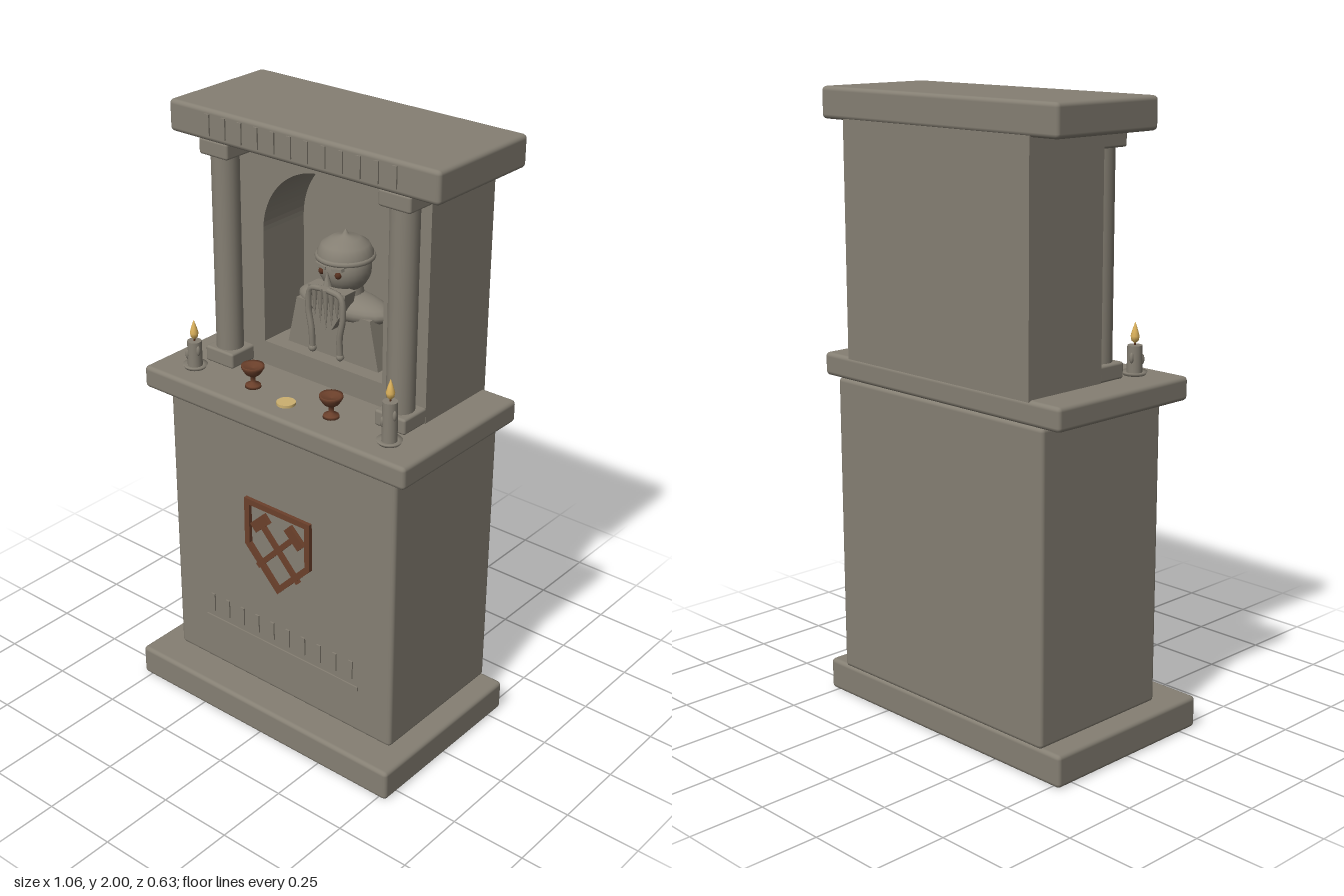
import * as THREE from 'three';
import { RoundedBoxGeometry } from 'three/addons/geometries/RoundedBoxGeometry.js';

const mat = (name, color, side = THREE.FrontSide) => {
  const m = new THREE.MeshStandardMaterial({ color, side });
  m.name = name;
  return m;
};

export function createModel() {
  const stone = mat('stone', 0x857f73);
  const copper = mat('copper brown', 0x6b402b, THREE.DoubleSide);
  const gold = mat('pale gold', 0xccb070);
  const flameMat = mat('flame', 0xdcb25c);
  const eyeMat = mat('eye brown', 0x55301f);

  const root = new THREE.Group();
  root.name = 'shrine';
  const add = (name, geo, m, x = 0, y = 0, z = 0, parent = root) => {
    const mesh = new THREE.Mesh(geo, m);
    mesh.name = name;
    mesh.position.set(x, y, z);
    parent.add(mesh);
    return mesh;
  };
  const group = (name, x = 0, y = 0, z = 0) => {
    const g = new THREE.Group();
    g.name = name;
    g.position.set(x, y, z);
    root.add(g);
    return g;
  };
  // Rounded block given by half width, bottom, top, back and front
  const block = (name, hw, y0, y1, z0, z1, r = 0.014) =>
    add(name, new RoundedBoxGeometry(hw * 2, y1 - y0, z1 - z0, 2, r), stone, 0, (y0 + y1) / 2, (z0 + z1) / 2);
  const lathe = (pts, n = 20) => new THREE.LatheGeometry(pts.map(p => new THREE.Vector2(...p)), n);
  const polygon = pts => new THREE.Shape(pts.map(p => new THREE.Vector2(...p)));
  const extrude = (shape, depth) => new THREE.ExtrudeGeometry(shape, { depth, bevelEnabled: false, curveSegments: 24 });

  // Main slabs
  const back = -0.315;
  block('basePlinth', 0.53, 0, 0.105, back, 0.315);
  block('pedestal', 0.455, 0.1, 1.088, back, 0.2);
  block('altarLedge', 0.52, 1.085, 1.16, back, 0.25);
  block('topSlab', 0.505, 1.9, 2.0, back, 0.105);

  // Upper housing with an arched niche
  const wall = polygon([[-0.4, 1.155], [0.4, 1.155], [0.4, 1.905], [-0.4, 1.905]]);
  const niche = new THREE.Path();
  niche.moveTo(-0.235, 1.24);
  niche.lineTo(-0.235, 1.608);
  niche.absarc(0, 1.608, 0.235, Math.PI, 0, true);
  niche.lineTo(0.235, 1.24);
  niche.closePath();
  wall.holes.push(niche);
  add('nicheWall', extrude(wall, 0.19), stone, 0, 0, -0.2);
  add('housingBack', new THREE.BoxGeometry(0.8, 0.75, 0.115), stone, 0, 1.53, -0.2575);

  // Columns with square feet and caps
  for (const s of [-1, 1]) {
    const g = group(s < 0 ? 'rightColumn' : 'leftColumn', s * 0.342, 0, 0.037);
    add('shaft', new THREE.CylinderGeometry(0.044, 0.044, 0.65, 20), stone, 0, 1.53, 0, g);
    for (const [name, y] of [['foot', 1.185], ['cap', 1.874]])
      add(name, new RoundedBoxGeometry(0.115, 0.052, 0.108, 2, 0.008), stone, 0, y, 0, g);
  }

  // Bust in the niche
  const bust = group('bust', 0, 0, -0.12);
  add('torso', extrude(polygon([[-0.18, 1.24], [0.18, 1.24], [0.145, 1.4], [-0.145, 1.4]]), 0.13), stone, 0, 0, -0.07, bust);
  add('shoulders', new THREE.SphereGeometry(1, 24, 14), stone, 0, 1.4, 0, bust).scale.set(0.175, 0.048, 0.078);
  add('neck', new THREE.CylinderGeometry(0.05, 0.065, 0.08, 16), stone, 0, 1.45, 0, bust);
  add('head', new THREE.SphereGeometry(0.082, 24, 16), stone, 0, 1.525, 0, bust);
  add('helmet', lathe([[0.088, 1.552], [0.087, 1.575], [0.074, 1.6], [0.045, 1.618], [0.012, 1.625],
    [0.008, 1.633], [0, 1.645]], 24), stone, 0, 0, 0, bust);
  add('helmetBand', new THREE.TorusGeometry(0.085, 0.009, 8, 28).rotateX(Math.PI / 2), stone, 0, 1.56, 0, bust);
  add('nose', new THREE.ConeGeometry(0.014, 0.045, 8), stone, 0, 1.51, 0.085, bust);
  add('beard', extrude(polygon([[-0.074, 1.475], [-0.06, 1.41], [-0.02, 1.345], [0.02, 1.345],
    [0.06, 1.41], [0.074, 1.475]]), 0.05), stone, 0, 0, 0.04, bust);
  // Hanging strands, longer in the middle
  for (let i = -2; i <= 2; i++) {
    const len = 0.14 - Math.abs(i) * 0.02;
    add('beardStrand', new THREE.ConeGeometry(0.012, len, 8).rotateX(Math.PI), stone, i * 0.022, 1.475 - len / 2, 0.092, bust);
  }
  for (const s of [-1, 1]) {
    add('eye', new THREE.SphereGeometry(0.011, 10, 8), eyeMat, s * 0.032, 1.523, 0.073, bust);
    add('brow', new THREE.BoxGeometry(0.04, 0.01, 0.015), stone, s * 0.032, 1.541, 0.075, bust).rotation.z = s * 0.2;
    const braid = new THREE.CatmullRomCurve3([[0.012, 1.478, 0.098], [0.058, 1.465, 0.094], [0.068, 1.4, 0.094],
      [0.056, 1.33, 0.094], [0.055, 1.265, 0.09]].map(([x, y, z]) => new THREE.Vector3(s * x, y, z)));
    add('moustacheBraid', new THREE.TubeGeometry(braid, 20, 0.01, 8), stone, 0, 0, 0, bust);
    add('braidTip', new THREE.SphereGeometry(0.013, 10, 8), stone, s * 0.055, 1.265, 0.09, bust);
  }

  // Candles on dishes, the left one taller
  for (const [s, h] of [[-1, 0.085], [1, 0.13]]) {
    const g = group(s < 0 ? 'rightCandle' : 'leftCandle', s * 0.39, 1.16, 0.15);
    add('dish', lathe([[0, 0], [0.034, 0], [0.04, 0.011], [0.026, 0.008], [0, 0.008]]), stone, 0, 0, 0, g);
    add('wax', new THREE.CylinderGeometry(0.023, 0.024, h, 16), stone, 0, h / 2 + 0.006, 0, g);
    for (const [a, y] of [[0.3, 0.75], [2.2, 0.55], [4.4, 0.65]])
      add('drip', new THREE.SphereGeometry(0.007, 8, 8), stone, 0.023 * Math.cos(a), h * y, 0.023 * Math.sin(a), g).scale.y = 2.4;
    add('wick', new THREE.CylinderGeometry(0.003, 0.003, 0.02, 6), eyeMat, 0, h + 0.012, 0, g);
    add('flame', lathe([[0, 0], [0.011, 0.01], [0.014, 0.024], [0.008, 0.045], [0, 0.068]], 12), flameMat, 0, h + 0.01, 0, g);
  }

  // Goblets and a coin on the ledge
  for (const s of [-1, 1])
    add('goblet', lathe([[0, 0], [0.026, 0], [0.024, 0.008], [0.008, 0.016], [0.008, 0.034], [0.024, 0.045],
      [0.036, 0.064], [0.036, 0.074], [0.03, 0.07], [0, 0.062]]), copper, s * 0.157, 1.16, 0.135);
  add('coin', new THREE.CylinderGeometry(0.03, 0.03, 0.009, 24), gold, 0, 1.1645, 0.16);

  // Shield ornament with crossed hammers
  const shield = group('shieldOrnament', 0, 0, 0.197);
  const frame = polygon([[-0.135, 0.805], [-0.135, 0.635], [0, 0.495], [0.135, 0.635], [0.135, 0.805]]);
  frame.holes.push(new THREE.Path([[-0.115, 0.785], [0.115, 0.785], [0.115, 0.644], [0, 0.523], [-0.115, 0.644]]
    .map(p => new THREE.Vector2(...p))));
  add('shieldFrame', extrude(frame, 0.016), copper, 0, 0, 0, shield);
  for (const s of [-1, 1]) {
    const h = new THREE.Group();
    h.name = 'hammer';
    h.position.set(0, 0.657, 0.007);
    h.rotation.z = s * 0.76;
    shield.add(h);
    add('handle', new THREE.BoxGeometry(0.018, 0.225, 0.014), copper, 0, -0.01, 0, h);
    add('hammerHead', new THREE.BoxGeometry(0.078, 0.036, 0.018), copper, 0, 0.103, 0, h);
  }

  // Carved trim: plain upright notches in two rows and a bar
  add('trimBar', new THREE.BoxGeometry(0.65, 0.014, 0.01), stone, 0, 0.27, 0.2);
  const notches = (count, x0, x1, y, z) => {
    for (let i = 0; i < count; i++)
      add('carvedNotch', new THREE.BoxGeometry(0.016, 0.066, 0.01), stone, x0 + (x1 - x0) * i / (count - 1), y, z);
  };
  notches(10, -0.295, 0.295, 0.333, 0.2);
  notches(12, -0.345, 0.355, 1.952, 0.105);
  return root;
}
